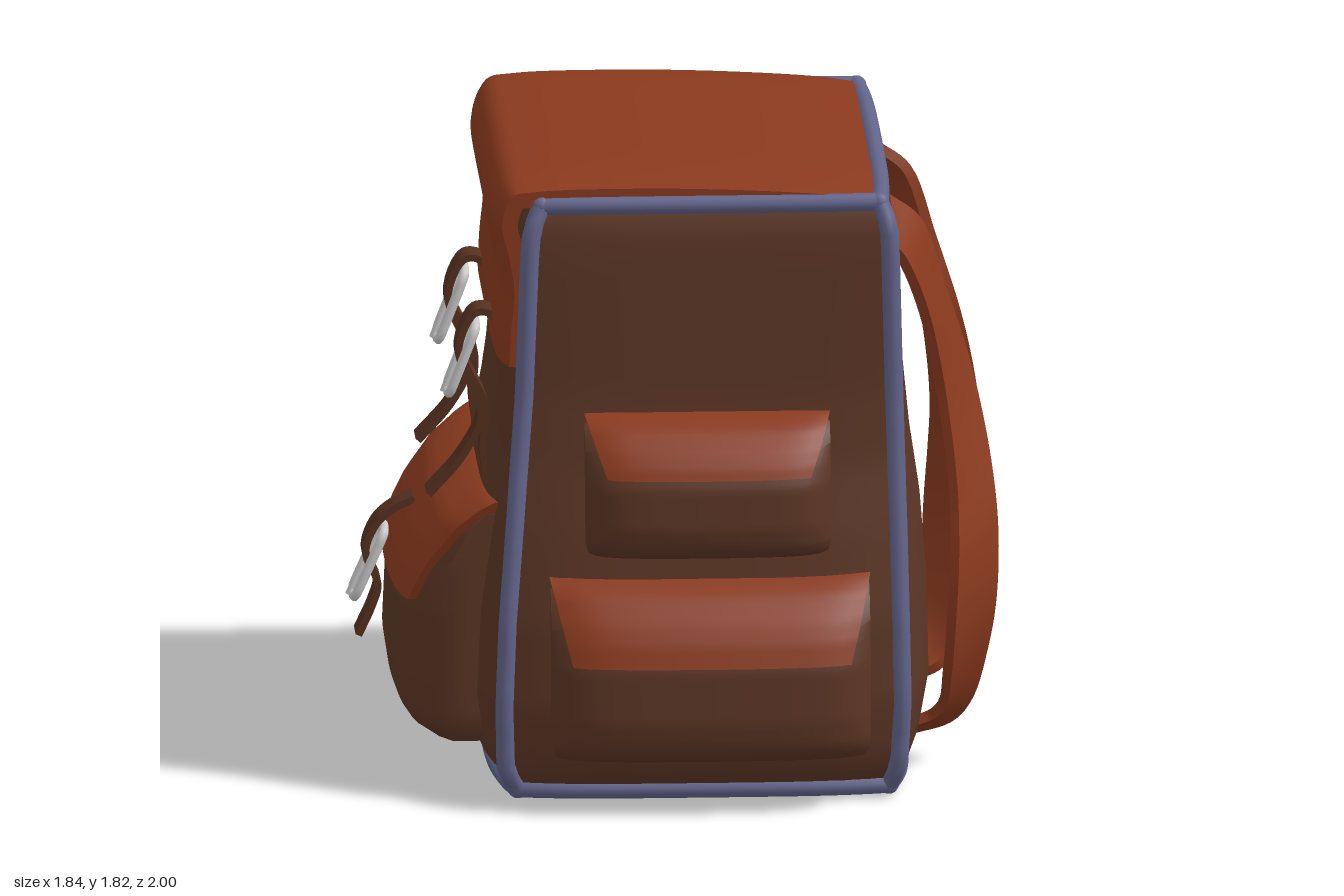
import * as THREE from 'three';
import { mergeVertices, toCreasedNormals } from 'three/addons/utils/BufferGeometryUtils.js';

const V = (x, y, z) => new THREE.Vector3(x, y, z);
const mat = (color) => new THREE.MeshStandardMaterial({ color, side: THREE.DoubleSide });
const canvasMat = mat(0x5c3625);
const leatherMat = mat(0x8a3a1e);
const pipingMat = mat(0x62648a);
const strapMat = mat(0x55301f);
const metalMat = mat(0xcccccc);

// piecewise linear lookup in rows [key, value, ...]
function lookup(rows, key, col = 1) {
  let i = 1;
  while (i < rows.length - 1 && rows[i][0] < key) i++;
  const a = rows[i - 1], b = rows[i];
  const t = THREE.MathUtils.clamp((key - a[0]) / (b[0] - a[0]), 0, 1);
  return a[col] + (b[col] - a[col]) * t;
}

function addMesh(parent, name, geometry, material) {
  const mesh = new THREE.Mesh(geometry, material);
  mesh.name = name;
  parent.add(mesh);
  return mesh;
}

// a segmented cube (-1..1 on each axis) with every vertex moved by a rule
function warpedBox(nu, nv, nw, rule, crease = 0.8) {
  let geo = new THREE.BoxGeometry(2, 2, 2, nu, nv, nw);
  const pos = geo.attributes.position;
  for (let i = 0; i < pos.count; i++) {
    const p = rule(pos.getX(i), pos.getY(i), pos.getZ(i));
    pos.setXYZ(i, p.x, p.y, p.z);
  }
  geo.deleteAttribute('uv');
  geo.deleteAttribute('normal');
  geo = mergeVertices(geo, 1e-5);
  return toCreasedNormals(geo, crease);
}

// a strip of cloth lofted between two edge curves
function band(edgeA, edgeB, thick, segments, { sag = 0, across = 4 } = {}) {
  const a = new THREE.CatmullRomCurve3(edgeA), b = new THREE.CatmullRomCurve3(edgeB);
  return warpedBox(across, segments, 1, (u, v, w) => {
    const t = (v + 1) / 2;
    const pa = a.getPoint(t), pb = b.getPoint(t);
    const along = a.getTangent(t).add(b.getTangent(t));
    const normal = pb.clone().sub(pa).cross(along).normalize();
    return pa.lerp(pb, (u + 1) / 2).addScaledVector(normal, (w * thick) / 2 - sag * u ** 8);
  });
}

// body outline: [y, x of one side, x of other side, half depth, bulge]
const BODY = [
  [0.05, -0.47, 0.59, 0.72, 0.05],
  [0.12, -0.505, 0.615, 0.765, 0.075],
  [0.3, -0.51, 0.625, 0.785, 0.1],
  [0.55, -0.5, 0.62, 0.775, 0.1],
  [0.8, -0.48, 0.615, 0.745, 0.085],
  [1.0, -0.465, 0.61, 0.715, 0.06],
  [1.2, -0.45, 0.605, 0.7, 0.045],
  [1.6, -0.435, 0.595, 0.7, 0.03],
  [1.7, -0.425, 0.59, 0.695, 0.02],
  [1.75, -0.4, 0.565, 0.675, 0.015],
];
function bodyPoint(u, v, w) {
  const y = 0.9 + 0.85 * v;
  const [x0, x1, hz, bulge] = [1, 2, 3, 4].map((c) => lookup(BODY, y, c));
  const bu = 1 - u ** 4, bw = 1 - w ** 4;
  return V(
    (x0 + x1) / 2 + (u * (x1 - x0)) / 2 + u * bulge * bw,
    y + v * 0.035 * bu * bw,
    w * (hz + 0.6 * bulge * bu));
}

// piping along the edges of the body, with rounded corners
function makePiping() {
  const g = new THREE.Group();
  g.name = 'piping';
  const edge = (fn) => {
    const pts = [];
    for (let i = 0; i <= 24; i++) pts.push(fn(-1 + i / 12));
    addMesh(g, 'pipingEdge', new THREE.TubeGeometry(new THREE.CatmullRomCurve3(pts), 36, 0.027, 10), pipingMat);
  };
  for (const a of [-1, 1]) for (const b of [-1, 1]) {
    edge((t) => bodyPoint(a, t, b));
    edge((t) => bodyPoint(t, a, b));
    if (a > 0 || b < 0) edge((t) => bodyPoint(a, b, t));
    for (const c of [-1, 1]) {
      addMesh(g, 'pipingCorner', new THREE.SphereGeometry(0.029, 12, 8), pipingMat)
        .position.copy(bodyPoint(a, b, c));
    }
  }
  return g;
}

// pocket depth by height, as fractions
const POCKET = [[0, 0.72], [0.04, 0.86], [0.1, 0.95], [0.25, 1], [0.55, 0.97], [0.7, 0.86],
  [0.8, 0.74], [0.93, 0.5], [1, 0.25], [1.04, 0]];
// pouch and sloping lid; faces +z with its back at z = 0 and its bottom at y = 0
function makePocket(name, width, height, depth, lidFrom, inset) {
  const g = new THREE.Group();
  g.name = name;
  const bow = (f) => 1 - 0.12 * f ** 2 - 0.25 * f ** 8;
  const front = (h, f) => depth * lookup(POCKET, h) * bow(f);
  addMesh(g, 'pouch', warpedBox(20, 24, 2, (u, v, w) => {
    const h = (v + 1) / 2;
    const side = 1 - 0.04 * Math.max(0, 1 - h / 0.12) ** 2;
    return V((u * side * width) / 2, h * height, ((w + 1) / 2) * front(h, u));
  }, 1), canvasMat);
  addMesh(g, 'lid', warpedBox(20, 16, 1, (u, v, w) => {
    const s = (v + 1) / 2, h = lidFrom + s * (1.04 - lidFrom);
    const f = u * (1.015 - (inset / width) * 2 * (1 - s));
    return V((f * width) / 2, h * height + (w > 0 ? 0.012 * s : 0),
      front(h, Math.min(1, Math.abs(f))) + (w > 0 ? 0.022 : -0.015));
  }, 0.9), leatherMat);
  return g;
}

// metal frame buckle with a middle bar and prong, lying in the yz plane
function makeBuckle(x, y, z, tilt) {
  const g = new THREE.Group();
  g.name = 'buckle';
  const frame = [[-0.045, -0.105], [0.045, -0.105], [0.068, -0.08], [0.068, 0.08],
    [0.045, 0.105], [-0.045, 0.105], [-0.068, 0.08], [-0.068, -0.08]].map(([a, b]) => V(0, b, a));
  const loop = new THREE.CatmullRomCurve3(frame, true, 'catmullrom', 0.3);
  addMesh(g, 'buckleFrame', new THREE.TubeGeometry(loop, 48, 0.014, 8, true), metalMat);
  addMesh(g, 'buckleBar', new THREE.CylinderGeometry(0.01, 0.01, 0.136, 8), metalMat).rotation.x = Math.PI / 2;
  const prong = addMesh(g, 'buckleProng', new THREE.CylinderGeometry(0.009, 0.009, 0.12, 8), metalMat);
  prong.position.set(-0.012, -0.055, 0);
  g.position.set(x, y, z);
  g.rotation.z = tilt;
  return g;
}

// narrow strap following an xy path, centred on z
function makeStrap(path, z, half = 0.05) {
  return band(path.map(([x, y]) => V(x, y, z + half)), path.map(([x, y]) => V(x, y, z - half)), 0.02, 36);
}

export function createModel() {
  const bag = new THREE.Group();
  bag.name = 'backpack';

  addMesh(bag, 'body', warpedBox(16, 34, 16, bodyPoint, 0.6), canvasMat);
  bag.add(makePiping());

  // top flap folding over the buckled side
  const fold = [[0.55, 1.77], [0.45, 1.785], [0.15, 1.805], [-0.15, 1.812], [-0.42, 1.805], [-0.49, 1.79],
    [-0.525, 1.7], [-0.505, 1.6], [-0.49, 1.5], [-0.5, 1.38], [-0.505, 1.28]];
  addMesh(bag, 'topFlap', band(
    fold.map(([x, y]) => V(x, y, 0.685)), fold.map(([x, y]) => V(x, y, -0.685)),
    0.045, 60, { sag: 0.035, across: 24 }), leatherMat);

  // pockets
  const low = makePocket('lowerPocket', 0.91, 0.5, 0.245, 0.58, 0.065);
  low.position.set(0.075, 0.17, 0.74);
  const high = makePocket('upperPocket', 0.7, 0.385, 0.23, 0.63, 0.065);
  high.position.set(0.07, 0.75, 0.68);
  const large = makePocket('largePocket', 1.2, 0.67, 0.31, 0.6, 0.1);
  large.position.set(-0.505, 0.15, -0.015);
  large.rotation.y = -Math.PI / 2;
  bag.add(low, high, large);

  // shoulder straps: inner edge x, y, z then outer edge x, y, z
  const shoulder = [
    [0.6, 1.67, 0.3, 0.6, 1.58, 0.49], [0.69, 1.6, 0.3, 0.64, 1.53, 0.49],
    [0.76, 1.4, 0.3, 0.7, 1.38, 0.49], [0.83, 1.18, 0.3, 0.75, 1.14, 0.49],
    [0.88, 0.95, 0.4, 0.78, 0.88, 0.59], [0.9, 0.76, 0.485, 0.78, 0.7, 0.675],
    [0.895, 0.55, 0.51, 0.77, 0.53, 0.7], [0.87, 0.37, 0.45, 0.76, 0.36, 0.65],
    [0.83, 0.2, 0.34, 0.75, 0.23, 0.52], [0.78, 0.135, 0.3, 0.72, 0.19, 0.48],
    [0.67, 0.1, 0.29, 0.67, 0.17, 0.47],
  ];
  for (const s of [1, -1]) {
    addMesh(bag, 'shoulderStrap', band(
      shoulder.map((p) => V(p[0], p[1], s * p[2])), shoulder.map((p) => V(p[3], p[4], s * p[5])),
      0.03, 60), leatherMat);
  }

  // looped tool holder on the side
  const loops = [[-0.36, -0.8], [-0.29, -0.83], [-0.18, -0.91], [-0.06, -0.98], [0.03, -0.965], [0.08, -0.89],
    [0.1, -0.81], [0.185, -0.81], [0.205, -0.92], [0.27, -0.945], [0.36, -0.92], [0.42, -0.86], [0.51, -0.81]];
  addMesh(bag, 'toolLoops', band(
    loops.map(([x, z]) => V(x, 0.78, z - 0.01)), loops.map(([x, z]) => V(x, 1.025, z + 0.012)),
    0.024, 72), leatherMat);

  // closing straps with buckles
  for (const z of [-0.33, 0.295]) {
    addMesh(bag, 'closingStrap', makeStrap([[-0.5, 1.3], [-0.53, 1.35], [-0.575, 1.35], [-0.62, 1.24],
      [-0.585, 1.14], [-0.555, 1.05], [-0.61, 0.93], [-0.705, 0.82]], z), strapMat);
    addMesh(bag, 'lowerStrap', makeStrap([[-0.53, 0.8], [-0.55, 0.95], [-0.545, 1.08], [-0.6, 1.2]], z), strapMat);
    bag.add(makeBuckle(-0.61, 1.215, z, -0.37));
  }
  addMesh(bag, 'pocketStrap', makeStrap([[-0.73, 0.73], [-0.79, 0.7], [-0.84, 0.655], [-0.87, 0.57],
    [-0.835, 0.48], [-0.85, 0.42], [-0.89, 0.33]], -0.015), strapMat);
  bag.add(makeBuckle(-0.86, 0.54, -0.015, -0.42));
  return bag;
}
